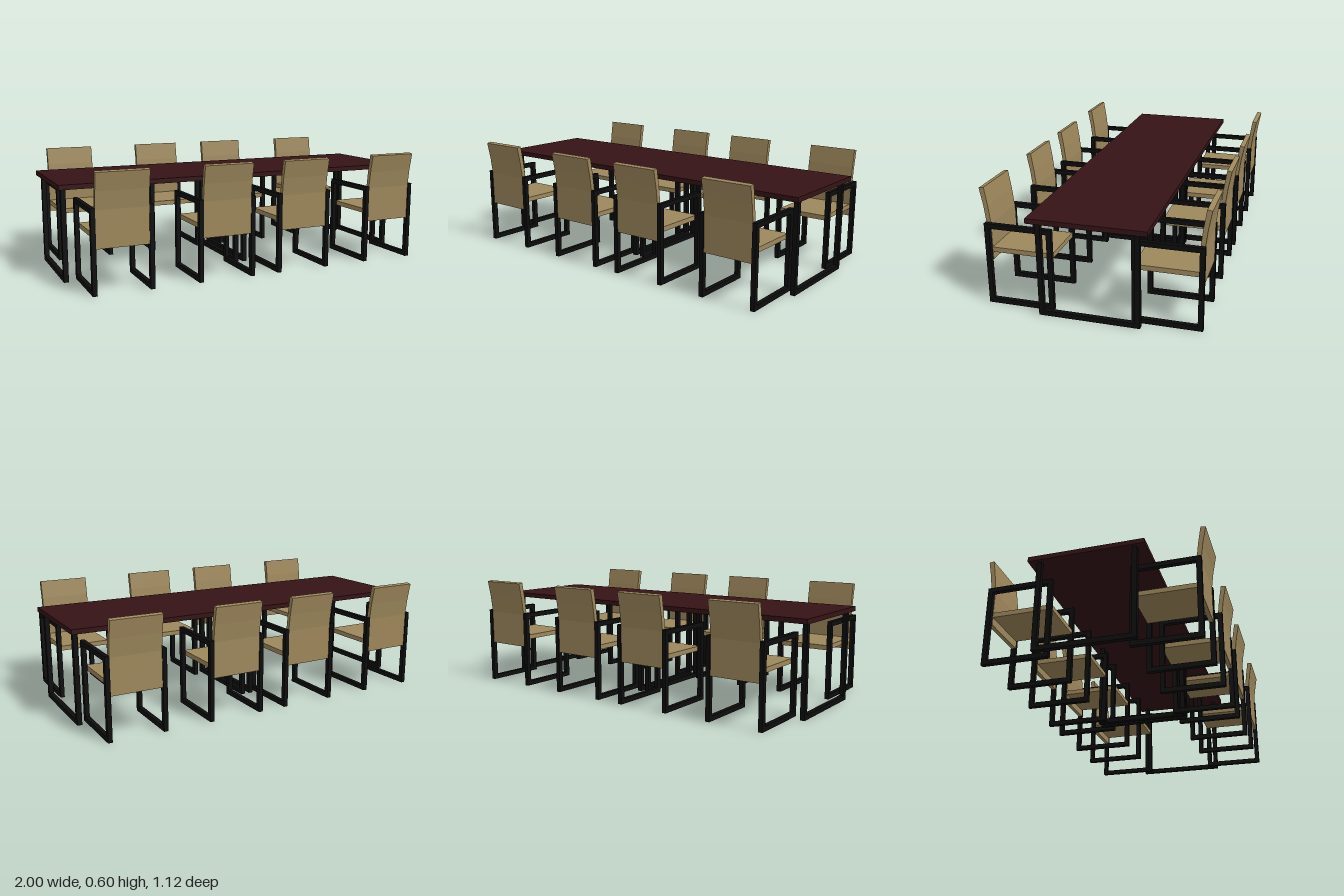
import * as THREE from 'three';

const mat = (color) => new THREE.MeshStandardMaterial({ color });
const wood = mat(0x351315);
const metal = mat(0x0d0d0d);
const fabric = mat(0x9e885c);
const BAR = 0.025;

// Box given by its minimum and maximum corners
function box(name, material, [x0, y0, z0], [x1, y1, z1]) {
  const mesh = new THREE.Mesh(new THREE.BoxGeometry(x1 - x0, y1 - y0, z1 - z0), material);
  mesh.position.set((x0 + x1) / 2, (y0 + y1) / 2, (z0 + z1) / 2);
  mesh.name = name;
  return mesh;
}

// Extrude a (z, y) outline along x, centred on x = 0
function extrudeX(name, material, shape, width) {
  const geometry = new THREE.ExtrudeGeometry(shape, { depth: width, bevelEnabled: false });
  geometry.translate(0, 0, -width / 2);
  geometry.rotateY(-Math.PI / 2);
  const mesh = new THREE.Mesh(geometry, material);
  mesh.name = name;
  return mesh;
}

const outline = (points) => points.map(([z, y]) => new THREE.Vector2(z, y));
const rect = (z0, y0, z1, y1) => outline([[z0, y0], [z1, y0], [z1, y1], [z0, y1]]);

// Table spanning x = 0..1, carried by a U-shaped frame at each end
function createTable() {
  const table = new THREE.Group();
  table.name = 'table';
  table.add(box('tableTop', wood, [0, 0.475, -0.29], [1, 0.5, 0.29]));
  for (const x of [0.025, 0.97]) {
    const frame = new THREE.Shape(outline([
      [-0.25, 0], [0.25, 0], [0.25, 0.475], [0.225, 0.475],
      [0.225, BAR], [-0.225, BAR], [-0.225, 0.475], [-0.25, 0.475],
    ]));
    const mesh = extrudeX('tableLegFrame', metal, frame, BAR);
    mesh.position.x = x;
    table.add(mesh);
  }
  return table;
}

// Chair with its back towards +z
function createChair() {
  const chair = new THREE.Group();
  chair.name = 'chair';

  // Closed rectangular side frames: leg, armrest, leg and floor bar
  for (const side of [-1, 1]) {
    const loop = new THREE.Shape(rect(0.195, 0, 0.535, 0.42));
    loop.holes.push(new THREE.Path(rect(0.22, BAR, 0.51, 0.395)));
    const mesh = extrudeX('sideFrame', metal, loop, 0.023);
    mesh.position.x = side * 0.1435;
    chair.add(mesh);
  }

  chair.add(box('seat', fabric, [-0.132, 0.265, 0.2], [0.132, 0.29, 0.512]));

  // Back panel, bending away from the seat above the armrests
  const back = new THREE.Shape(outline([
    [0.508, 0.225], [0.53, 0.225], [0.53, 0.41], [0.541, 0.5], [0.558, 0.59],
    [0.533, 0.595], [0.518, 0.5], [0.508, 0.41],
  ]));
  chair.add(extrudeX('backrest', fabric, back, 0.264));
  return chair;
}

export function createModel() {
  const model = new THREE.Group();
  model.name = 'diningSet';

  // Two tables pushed together end to end
  for (const turn of [0, Math.PI]) {
    const table = createTable();
    table.rotation.y = turn;
    model.add(table);
  }

  // Four chairs along each long side, facing the tables
  for (const x of [-0.755, -0.211, 0.233, 0.775]) {
    for (const turn of [0, Math.PI]) {
      const chair = createChair();
      chair.position.x = x;
      chair.rotation.y = turn;
      model.add(chair);
    }
  }
  return model;
}
